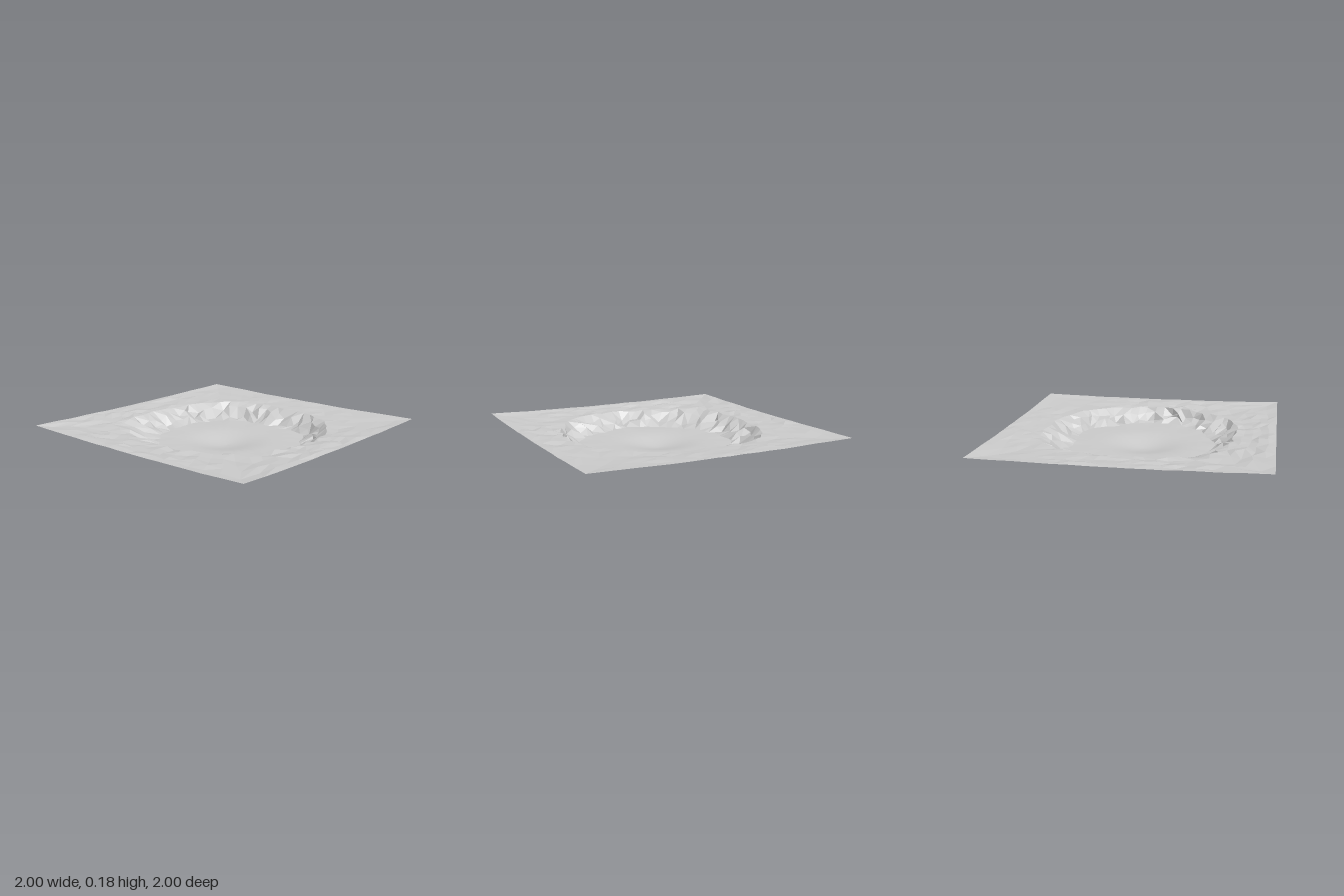
import * as THREE from 'three';

const SEGMENTS = 64;

// Floor edge and rim as (x, z) points, running from +x towards +z
const FLOOR_EDGE = [
  [0.5, 0], [0.5, 0.25], [0.45, 0.38], [0.31, 0.46], [0.2, 0.52], [0, 0.62],
  [-0.2, 0.59], [-0.37, 0.45], [-0.46, 0.25], [-0.54, 0.1], [-0.54, -0.1], [-0.47, -0.25],
  [-0.36, -0.36], [-0.25, -0.45], [0, -0.5], [0.2, -0.5], [0.37, -0.42], [0.48, -0.25],
];
const RIM = [
  [0.7, 0], [0.67, 0.3], [0.55, 0.5], [0.4, 0.63], [0.1, 0.72], [-0.2, 0.71],
  [-0.4, 0.6], [-0.6, 0.45], [-0.7, 0.2], [-0.69, -0.1], [-0.67, -0.35], [-0.61, -0.54],
  [-0.4, -0.67], [-0.1, -0.71], [0.2, -0.7], [0.45, -0.62], [0.62, -0.48], [0.69, -0.3],
];

function makeRandom(seed) {
  return () => {
    seed = (seed * 16807) % 2147483647;
    return seed / 2147483647;
  };
}

// Radius of an outline at each segment angle
function outlineRadii(points) {
  const polar = points.map(([x, z]) => {
    const a = Math.atan2(z, x);
    return [a < 0 ? a + Math.PI * 2 : a, Math.hypot(x, z)];
  });
  polar.push([Math.PI * 2, polar[0][1]]);
  return Array.from({ length: SEGMENTS }, (_, i) => {
    const a = (i / SEGMENTS) * Math.PI * 2;
    const k = Math.max(1, polar.findIndex((p) => p[0] > a));
    const [a0, r0] = polar[k - 1];
    const [a1, r1] = polar[k];
    return THREE.MathUtils.lerp(r0, r1, (a - a0) / (a1 - a0));
  });
}

// Skin a list of closed rings, innermost first
function ringMesh(name, rings, flatShading, random) {
  const index = [];
  for (let i = 0; i < rings.length - 1; i++) {
    for (let j = 0; j < SEGMENTS; j++) {
      const k = (j + 1) % SEGMENTS;
      const a = i * SEGMENTS + j, b = i * SEGMENTS + k;
      const c = a + SEGMENTS, d = b + SEGMENTS;
      if (random() < 0.5) index.push(a, b, c, b, d, c);
      else index.push(a, b, d, a, d, c);
    }
  }
  const geometry = new THREE.BufferGeometry();
  geometry.setAttribute('position', new THREE.Float32BufferAttribute(rings.flat(2), 3));
  geometry.setIndex(index);
  geometry.computeVertexNormals();
  const mesh = new THREE.Mesh(geometry, new THREE.MeshStandardMaterial({
    color: 0xcccccc, flatShading, side: THREE.DoubleSide,
  }));
  mesh.name = name;
  return mesh;
}

export function createModel() {
  const random = makeRandom(4217);
  const spread = (size) => (random() * 2 - 1) * size;
  const inner = outlineRadii(FLOOR_EDGE);
  const outer = outlineRadii(RIM);
  const square = inner.map((_, j) => {
    const a = (j / SEGMENTS) * Math.PI * 2;
    return 1 / Math.max(Math.abs(Math.cos(a)), Math.abs(Math.sin(a)));
  });

  // One ring blended between two outlines, with jitter along and across it
  const ring = (from, to, t, heightAt, jitter = 0) => from.map((r0, j) => {
    const a = ((j + spread(jitter * 10)) / SEGMENTS) * Math.PI * 2;
    const r = THREE.MathUtils.lerp(r0, to[j], t) + spread(jitter);
    const x = Math.cos(a) * r, z = Math.sin(a) * r;
    return [x, heightAt(x, z), z];
  });

  // Shallow bowl of the floor
  const floorHeight = (x, z) => 0.048 * THREE.MathUtils.smoothstep(Math.hypot(x + 0.03, z), 0, 0.36);
  const zero = inner.map(() => 0);
  const floorRings = [0, 0.1, 0.2, 0.3, 0.45, 0.6, 0.8].map((t) => ring(zero, inner, t, floorHeight));
  const floorEdge = ring(inner, inner, 0, (x, z) => floorHeight(x, z) + spread(0.004), 0.015);
  floorRings.push(floorEdge);

  // Broken rock wall
  const wallRings = [
    floorEdge,
    ring(inner, outer, 0.36, () => 0.072 + spread(0.03), 0.025),
    ring(inner, outer, 0.7, () => 0.112 + spread(0.025), 0.025),
  ];

  // Uneven ground, rougher on the left and rising to the square border
  const groundHeight = (x, z) => {
    const edge = Math.max(Math.abs(x), Math.abs(z));
    const rough = x > 0.3 ? 0.004 : 0.008;
    return 0.153 + 0.013 * THREE.MathUtils.smoothstep(edge, 0.65, 1) + spread(rough);
  };
  const borderHeight = (x, z) => 0.165 + 0.012 * x * x * z * z + spread(0.002);
  const rim = ring(outer, outer, 0, groundHeight, 0.015);
  wallRings.push(rim);
  const groundRings = [rim];
  for (const t of [0.2, 0.4, 0.6, 0.8]) {
    groundRings.push(ring(outer, square, t, groundHeight, 0.012));
  }
  groundRings.push(ring(square, square, 0, borderHeight));

  const model = new THREE.Group();
  model.name = 'craterTerrain';
  model.add(
    ringMesh('craterFloor', floorRings, false, random),
    ringMesh('craterWall', wallRings, true, random),
    ringMesh('surroundingGround', groundRings, true, random),
  );
  return model;
}
